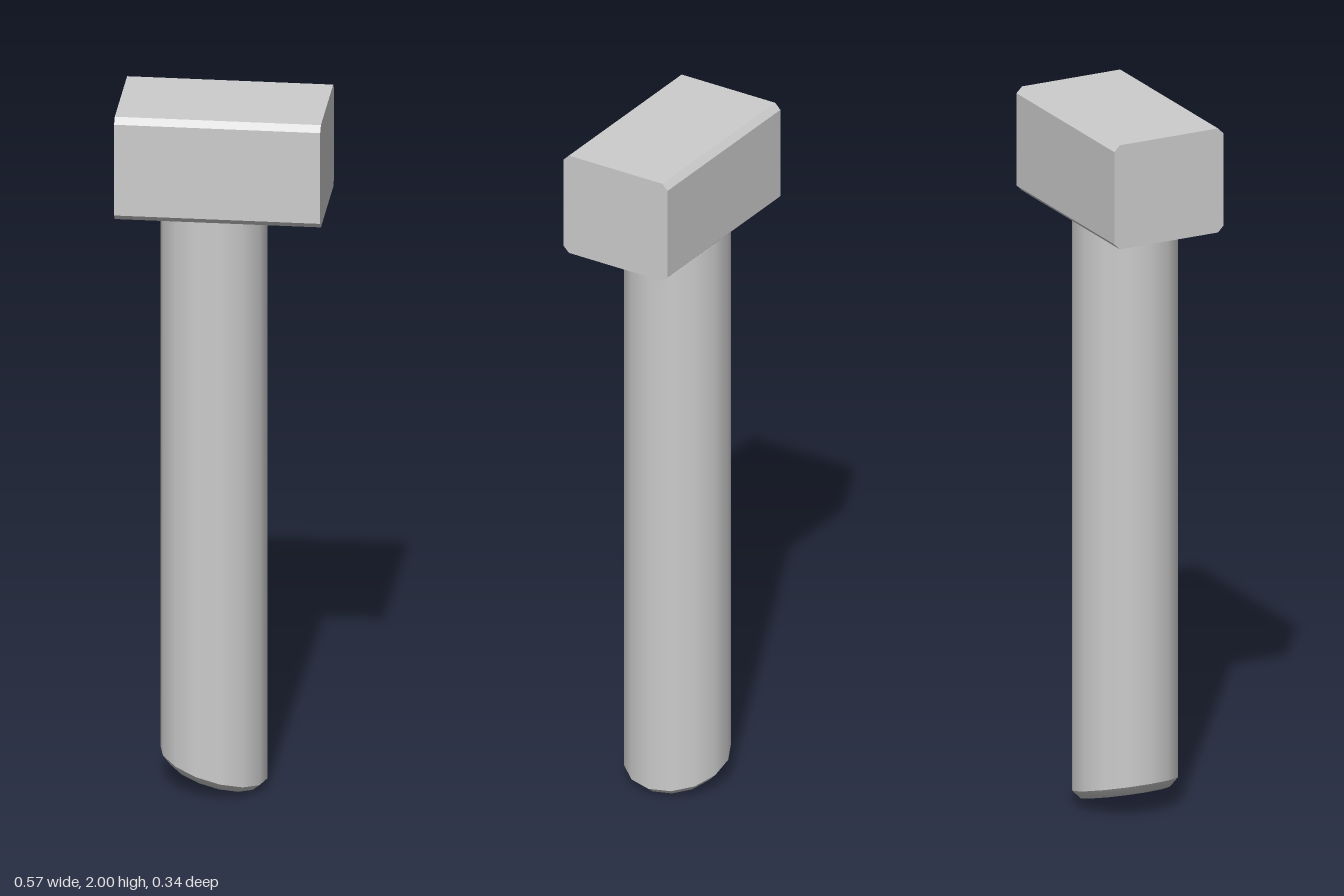
import * as THREE from 'three';
import { mergeVertices } from 'three/addons/utils/BufferGeometryUtils.js';

const SIDES = 14;
const RADIUS = 0.147;
const SHAFT_X = -0.028;
const SLOPE = -0.285; // slant of the cut end along x

// Shift the chosen vertices vertically so they follow the slanted cut
function slant(geometry, affects = () => true) {
  const p = geometry.attributes.position;
  for (let i = 0; i < p.count; i++) {
    if (affects(p.getY(i))) p.setY(i, p.getY(i) + SLOPE * p.getX(i));
  }
  return geometry;
}

export function createModel() {
  const grey = new THREE.MeshStandardMaterial({ color: 0xcccccc });
  grey.name = 'light grey metal';
  const model = new THREE.Group();
  model.name = 'tHeadBolt';

  const add = (name, geometry, x) => {
    const mesh = new THREE.Mesh(geometry, grey);
    mesh.name = name;
    mesh.position.x = x;
    model.add(mesh);
  };

  // Head: block with its four long edges chamfered
  const w = 0.169, low = 1.7, high = 2, c = 0.017;
  const profile = new THREE.Shape([
    [-w + c, low], [w - c, low], [w, low + c], [w, high - c],
    [w - c, high], [-w + c, high], [-w, high - c], [-w, low + c],
  ].map(([a, b]) => new THREE.Vector2(a, b)));
  const head = new THREE.ExtrudeGeometry(profile, { depth: 0.566, bevelEnabled: false });
  head.translate(0, 0, -0.283).rotateY(Math.PI / 2);
  add('head', head, 0);

  // Shaft: open cylinder whose lower rim is cut at a slant
  const rimY = 0.06, topY = 1.7;
  const shaft = new THREE.CylinderGeometry(RADIUS, RADIUS, topY - rimY, SIDES, 1, true, Math.PI / 2);
  shaft.translate(0, (topY + rimY) / 2, 0);
  add('shaft', slant(shaft, (y) => y < 1), SHAFT_X);

  // Slanted end: flat face with a narrow bevel, softly shaded
  const endPoints = [[0, 0.036], [0.125, 0.036], [RADIUS, rimY]].map(([r, y]) => new THREE.Vector2(r, y));
  let end = slant(new THREE.LatheGeometry(endPoints, SIDES, Math.PI / 2));
  end.deleteAttribute('normal');
  end.deleteAttribute('uv');
  end = mergeVertices(end);
  end.computeVertexNormals();
  add('shaftEnd', end, SHAFT_X);

  return model;
}
